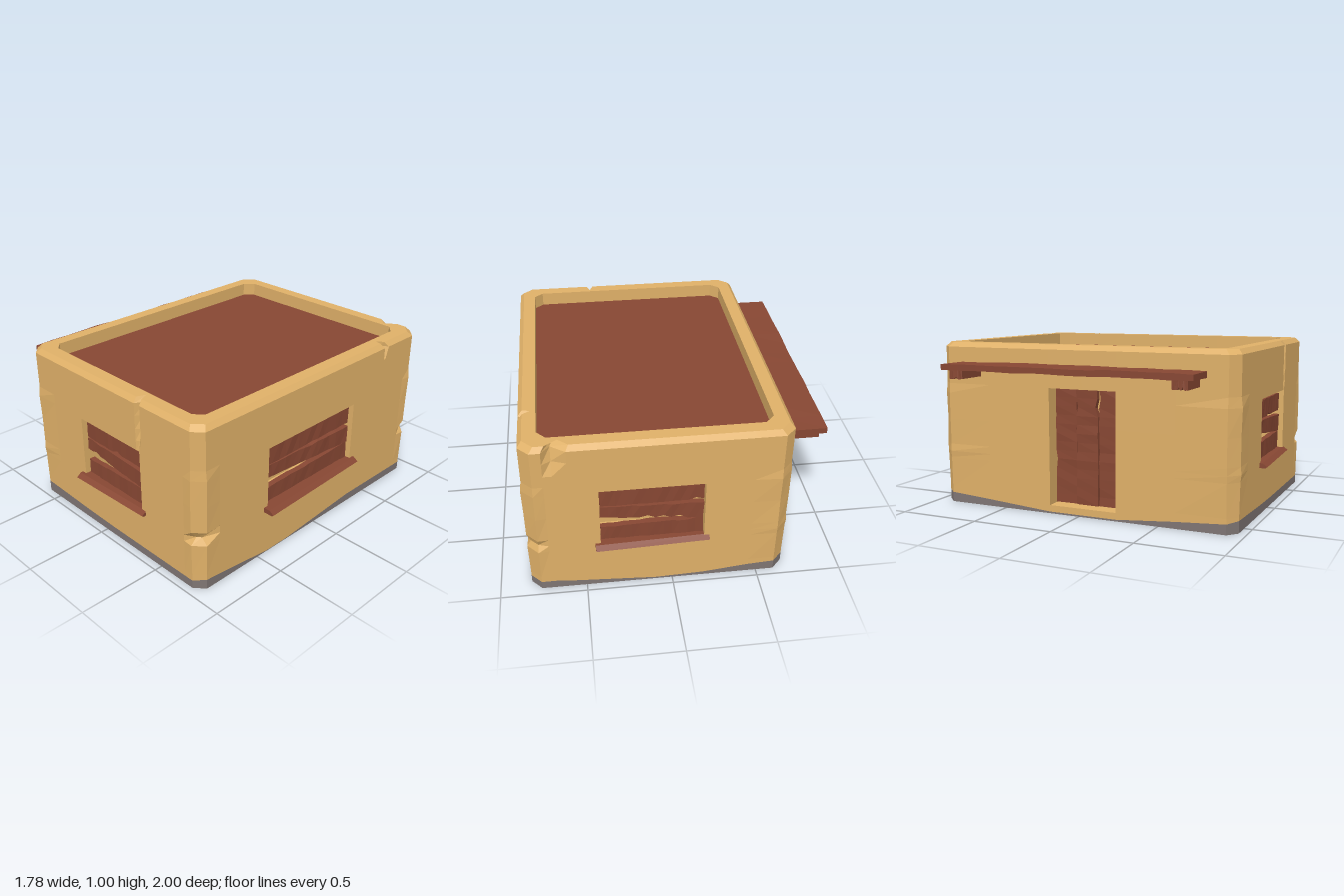
import * as THREE from 'three';

const plaster = new THREE.MeshStandardMaterial({ color: 0xdfb068, side: THREE.DoubleSide });
plaster.name = 'sand plaster';
const stone = new THREE.MeshStandardMaterial({ color: 0x7e7573, side: THREE.DoubleSide });
stone.name = 'grey footing';
const wood = new THREE.MeshStandardMaterial({ color: 0x874733, side: THREE.DoubleSide });
wood.name = 'old wood';

// Repeatable noise in -1..1
const noise = (a, b, c) => {
  const s = Math.sin(a * 127.1 + b * 311.7 + c * 74.7) * 43758.5453;
  return (s - Math.floor(s)) * 2 - 1;
};

function mesh(name, geometry, material) {
  const m = new THREE.Mesh(geometry, material);
  m.name = name;
  return m;
}

function facets(points) {
  const g = new THREE.BufferGeometry().setFromPoints(points);
  g.computeVertexNormals();
  return g;
}

// Four walls, counterclockwise from above. Columns: [position along wall, footing height, crack depth]
const CX = 0.077, HX = 0.743, HZ = 0.953, ROOF = 0.92;
const SIDES = [
  { n: [0, 1], open: [-0.18, 0.35], crackFrom: 0.69,
    cols: [[-0.605, 0.07], [-0.45, 0.065], [-0.18, 0.055], [0.08, 0.05], [0.325, 0.05], [0.35, 0.05, 0.06], [0.37, 0.05], [0.7, 0.05], [0.76, 0.05]] },
  { n: [1, 0], open: [-0.325, 0.425], crackFrom: 0.9,
    cols: [[0.9, 0.06], [0.8, 0.05], [0.425, 0.004], [0.25, 0.004], [-0.325, 0.05], [-0.6, 0.05], [-0.615, 0.05, 0.07], [-0.64, 0.05], [-0.83, 0.05], [-0.89, 0.05]] },
  { n: [0, -1], open: [-0.18, 0.41], crackFrom: 0.82,
    cols: [[0.76, 0.05], [0.7, 0.05], [0.65, 0.05, 0.07], [0.57, 0.04], [0.41, 0.03], [0.1, 0.01], [-0.18, 0.02], [-0.45, 0.05], [-0.605, 0.06]] },
  { n: [-1, 0], open: [-0.19, 0.24], crackFrom: 1, door: true,
    cols: [[-0.89, 0.06], [-0.6, 0.04], [-0.19, 0.01], [0.025, 0.01], [0.24, 0.01], [0.6, 0.04], [0.9, 0.06]] },
];
// Rows: [height, inset]; the first three follow the footing
const ROWS = [[0, 0], [0, 0], [0, 0], [0.285, 0], [0.325, 0], [0.37, 0], [0.53, 0], [0.69, 0], [0.75, 0], [0.82, 0],
  [0.9, 0], [0.975, 0], [1.003, 0.025], [1.003, 0.1], [ROOF, 0.1]];

function wallPoint(s, c, r) {
  const side = SIDES[s], [u, base, crack = 0] = side.cols[c];
  const [nx, nz] = side.n, last = side.cols.length - 1;
  let [y, inset] = ROWS[r];
  const nearDoor = side.door && u >= side.open[0] && u <= side.open[1];
  if (r === 1) y = base;
  if (r === 2) y = nearDoor ? 0.05 : 0.09;
  let push = 0;
  if (inset < 0.1) push -= crack * THREE.MathUtils.clamp((y - side.crackFrom) / (1.004 - side.crackFrom), 0, 1);
  // Swollen corners, with chips on the two at +x
  if (r > 2 && r < 8 && (c === 0 || c === last)) {
    push += 0.006 + 0.003 * noise(s, c, r);
    if (r === 4 && ((s === 0 && c === last) || (s === 1 && c === 0))) push = -0.035;
    if (r === 4 && ((s === 1 && c === last) || (s === 2 && c === 0))) push = -0.02;
  }
  const x = nx ? CX + nx * HX : u, z = nz ? nz * HZ : u;
  return new THREE.Vector3(CX + (x - CX) * (1 - inset / HX) + nx * push, y, z * (1 - inset / HZ) + nz * push);
}

function buildShell(root) {
  const columns = SIDES.flatMap((side, s) => side.cols.map((_, c) => [s, c]));
  const walls = [], footing = [], roof = [], top = ROWS.length - 1;
  columns.forEach(([s, c], i) => {
    const [s2, c2] = columns[(i + 1) % columns.length];
    const side = SIDES[s];
    const mid = (side.cols[c][0] + SIDES[s2].cols[c2][0]) / 2;
    const inOpening = s === s2 && mid > side.open[0] && mid < side.open[1];
    for (let r = 0; r < top; r++) {
      const hole = side.door ? r >= 2 && r < 8 : r >= 3 && r < 7;
      if (inOpening && hole) continue;
      const a = wallPoint(s, c, r), b = wallPoint(s2, c2, r);
      const d = wallPoint(s, c, r + 1), e = wallPoint(s2, c2, r + 1);
      (r === 0 ? footing : walls).push(a, b, e, a, e, d);
    }
    roof.push(new THREE.Vector3(CX, ROOF, 0), wallPoint(s, c, top), wallPoint(s2, c2, top));
  });
  root.add(mesh('walls', facets(walls), plaster), mesh('footing', facets(footing), stone), mesh('roof', facets(roof), wood));
}

// Weathered board: taper widens it towards its right end, a few edge points are nicked
function plank(name, [w, h, d], [x, y, z], { rot = 0, taper = 0, seed = 1, rough = 0.003 } = {}) {
  let g = new THREE.BoxGeometry(w, h, d, 13, 1, 1);
  const p = g.attributes.position;
  for (let i = 0; i < p.count; i++) {
    const px = p.getX(i), py = p.getY(i), pz = p.getZ(i);
    const step = Math.round(px / w * 13 + 6.5);
    const k = noise(step, Math.sign(py), seed);
    const nick = k > 0.8 && step > 0 && step < 13 ? 0.012 * Math.sign(py) : 0;
    p.setY(i, py * (1 + taper * px / w) + rough * k - nick);
    p.setZ(i, pz + rough * noise(step, Math.sign(py) + 2 * Math.sign(pz), seed));
  }
  g = g.toNonIndexed();
  g.computeVertexNormals();
  const m = mesh(name, g, wood);
  m.position.set(x, y, z);
  m.rotation.z = rot;
  return m;
}

// Recess behind an opening: a box without its front
function recess(w, y0, y1, depth) {
  const g = new THREE.BoxGeometry(w, y1 - y0, depth);
  const idx = Array.from(g.index.array);
  g.setIndex(idx.filter((_, i) => i < 24 || i >= 30));
  const m = mesh('recess', g, plaster);
  m.position.set(0, (y0 + y1) / 2, -depth / 2);
  return m;
}

// Sill with a pointed front edge, standing out further at its left end
function sill(w, reach) {
  const profile = new THREE.Shape();
  [[-0.08, -0.013], [reach - 0.012, -0.015], [reach, -0.006], [reach - 0.03, 0.015], [-0.08, 0.013]]
    .forEach(([z, y], i) => (i ? profile.lineTo(z, y) : profile.moveTo(z, y)));
  const g = new THREE.ExtrudeGeometry(profile, { depth: w, bevelEnabled: false });
  g.translate(0, 0, -w / 2);
  const m = mesh('sill', g, wood);
  m.rotation.y = -Math.PI / 2 + 0.035;
  m.position.set(0, 0.302, 0);
  return m;
}

function boardedWindow(name, w, seed, reach) {
  const g = new THREE.Group();
  g.name = name;
  const bw = w - 0.006;
  g.add(recess(w, 0.285, 0.69, 0.21));
  g.add(plank('topBoard', [bw, 0.11, 0.035], [0, 0.613, -0.05], { seed }));
  g.add(plank('middleBoard', [bw, 0.09, 0.035], [0, 0.497, -0.048], { rot: -0.04 / w, taper: 0.35, seed: seed + 1 }));
  g.add(plank('lowerBoard', [bw, 0.11, 0.035], [0, 0.36, -0.05], { rot: 0.01 / w, taper: 0.15, seed: seed + 2 }));
  g.add(sill(w + 0.06, reach));
  return g;
}

function doorway() {
  const g = new THREE.Group();
  g.name = 'doorway';
  g.add(recess(0.43, 0.05, 0.75, 0.21));
  for (let i = 0; i < 3; i++) {
    g.add(plank('doorBoard', [0.69, 0.138, 0.03], [-0.143 + i * 0.143, 0.4, -0.095 + (i % 2) * 0.01], { rot: Math.PI / 2, seed: 20 + i }));
  }
  return g;
}

function awning() {
  const g = new THREE.Group();
  g.name = 'awning';
  const board = plank('awningBoard', [1.57, 0.215, 0.036], [0, 0.87, 0.11], { seed: 31, rough: 0.004 });
  board.rotation.x = -Math.PI / 2;
  g.add(board);
  for (const u of [-0.7, 0.7]) g.add(plank('awningBracket', [0.09, 0.055, 0.21], [u, 0.828, 0.085], { seed: 40 + u }));
  return g;
}

export function createModel() {
  const root = new THREE.Group();
  root.name = 'house';
  buildShell(root);
  const place = (g, x, z, turn) => {
    g.position.set(x, 0, z);
    g.rotation.y = turn;
    root.add(g);
  };
  place(boardedWindow('frontWindow', 0.53, 3, 0.038), 0.085, HZ, 0);
  place(boardedWindow('leftWindow', 0.75, 7, 0.056), CX + HX, 0.05, Math.PI / 2);
  place(boardedWindow('backWindow', 0.59, 11, 0.036), 0.115, -HZ, Math.PI);
  place(doorway(), CX - HX, 0.025, -Math.PI / 2);
  place(awning(), CX - HX, -0.005, -Math.PI / 2);
  return root;
}
